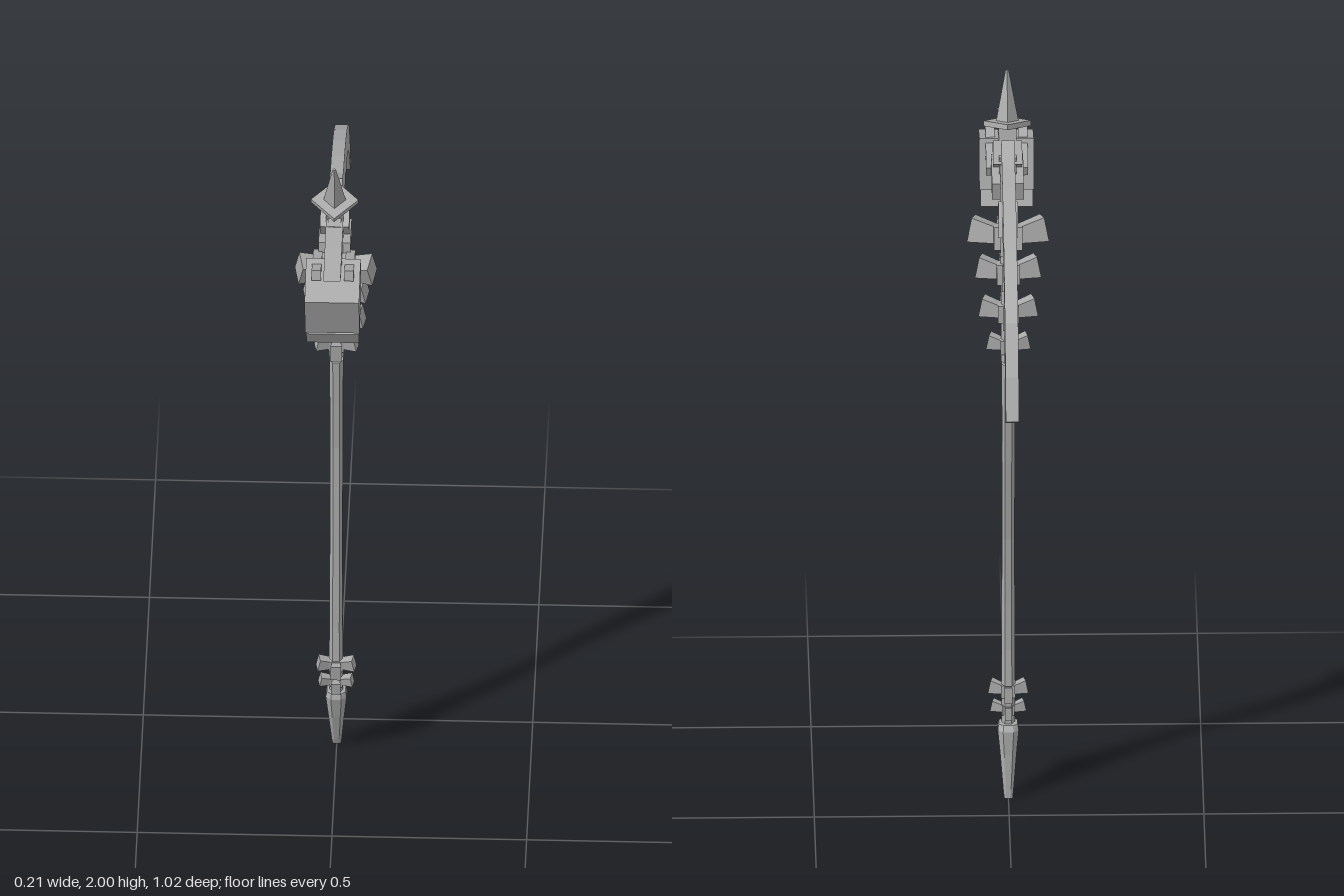
import * as THREE from 'three';

const bone = new THREE.MeshStandardMaterial({ color: 0xaaaaaa, flatShading: true });
bone.name = 'boneGrey';

function add(parent, name, geometry) {
  const mesh = new THREE.Mesh(geometry, bone);
  mesh.name = name;
  parent.add(mesh);
  return mesh;
}

// Side profile given as [z, y] points, extruded to a width along x
function plate(parent, name, points, width, x = 0) {
  const shape = new THREE.Shape(points.map(([z, y]) => new THREE.Vector2(z, y)));
  const g = new THREE.ExtrudeGeometry(shape, { depth: width, bevelEnabled: false });
  g.translate(0, 0, -width / 2);
  g.rotateY(-Math.PI / 2);
  g.translate(x, 0, 0);
  return add(parent, name, g);
}

// Box leaning in the side plane
function block(parent, name, [w, h, d], [x, y, z], tilt = 0) {
  const mesh = add(parent, name, new THREE.BoxGeometry(w, h, d));
  mesh.position.set(x, y, z);
  mesh.rotation.x = tilt;
  return mesh;
}

// Knob running outward along +z, with its own inner and outer section
function knob(parent, name, inner, outer, from, to) {
  const g = new THREE.BoxGeometry(1, 1, 1);
  const p = g.attributes.position;
  for (let i = 0; i < p.count; i++) {
    const end = p.getZ(i) > 0;
    const [w, h] = end ? outer : inner;
    p.setXYZ(i, p.getX(i) * w, p.getY(i) * h, end ? to : from);
  }
  return add(parent, name, g);
}

// Lofted shaft with a bevelled eight-sided section; rows are [y, zBack, zFront, halfWidth]
function shaft(parent, name, rows) {
  const section = [[1, 0.55], [0.5, 1], [-0.5, 1], [-1, 0.55], [-1, -0.55], [-0.5, -1], [0.5, -1], [1, -0.55]];
  const n = section.length, pos = [], index = [];
  for (const [y, z0, z1, hw] of rows) {
    for (const [sx, sz] of section) pos.push(sx * hw, y, (z0 + z1) / 2 + sz * (z1 - z0) / 2);
  }
  for (let r = 0; r < rows.length - 1; r++) {
    for (let i = 0; i < n; i++) {
      const a = r * n + i, b = r * n + (i + 1) % n;
      index.push(a, a + n, b, b, a + n, b + n);
    }
  }
  const top = (rows.length - 1) * n;
  for (let i = 1; i < n - 1; i++) {
    index.push(0, i, i + 1, top, top + i + 1, top + i);
  }
  const g = new THREE.BufferGeometry();
  g.setAttribute('position', new THREE.Float32BufferAttribute(pos, 3));
  g.setIndex(index);
  const flat = g.toNonIndexed();
  flat.computeVertexNormals();
  return add(parent, name, flat);
}

// Vertebra: core, front and back knobs, and two raised side wings
function vertebra(parent, { y, z, tilt, wide, front, back, h }) {
  const v = new THREE.Group();
  v.name = 'vertebra';
  v.position.set(0, y, z);
  v.rotation.x = tilt;
  parent.add(v);
  const core = wide * 0.36;
  block(v, 'vertebraCore', [core * 2, h * 0.75, core * 1.7], [0, 0, 0]);
  knob(v, 'vertebraFront', [core * 1.1, h * 0.55], [core * 1.5, h], core * 0.5, front);
  knob(v, 'vertebraBack', [core * 0.9, h * 0.55], [core * 1.1, h], core * 0.5, back).rotation.y = Math.PI;
  for (const side of [1, -1]) {
    const holder = new THREE.Group();
    holder.name = 'vertebraWing';
    holder.rotation.y = side * (Math.PI / 2 - 0.2);
    v.add(holder);
    knob(holder, 'wing', [core * 1.2, h * 0.5], [core * 1.5, h * 0.8], core * 0.6, wide * 0.96).rotation.x = -0.2;
  }
}

export function createModel() {
  const model = new THREE.Group();
  model.name = 'bonePick';

  // Curved pick blade with a notched lower edge
  plate(model, 'blade', [
    [0.30, 1.81], [0.20, 1.825], [0.17, 1.867], [0.095, 1.83], [0.005, 1.815], [-0.10, 1.785],
    [-0.207, 1.74], [-0.30, 1.685], [-0.377, 1.623], [-0.456, 1.507], [-0.509, 1.406], [-0.493, 1.395],
    [-0.42, 1.485], [-0.35, 1.565], [-0.26, 1.63], [-0.215, 1.648], [-0.19, 1.643], [-0.138, 1.655],
    [-0.106, 1.69], [-0.042, 1.68], [0, 1.66], [0.042, 1.69], [0.10, 1.674], [0.15, 1.685],
    [0.215, 1.63], [0.24, 1.665], [0.30, 1.69], [0.32, 1.74],
  ], 0.034);

  // Front horn and hanging fang
  plate(model, 'frontHorn', [
    [0.504, 1.788], [0.38, 1.803], [0.28, 1.81], [0.20, 1.80], [0.22, 1.72], [0.30, 1.735], [0.41, 1.758],
  ], 0.044);
  plate(model, 'fang', [
    [0.25, 1.70], [0.25, 1.66], [0.29, 1.645], [0.295, 1.59], [0.302, 1.533], [0.345, 1.59], [0.33, 1.65], [0.34, 1.70],
  ], 0.034);

  // Hammer head, chin block and the rails that hold them
  block(model, 'hammerHead', [0.14, 0.134, 0.139], [0, 1.68, 0.4215], 0.31);
  block(model, 'chinBlock', [0.135, 0.05, 0.1], [0, 1.583, 0.4], 0.48);
  block(model, 'chinLink', [0.07, 0.06, 0.045], [0, 1.615, 0.39], 0.31);
  block(model, 'hammerNeck', [0.07, 0.05, 0.14], [0, 1.705, 0.305], 0.2);
  for (const side of [1, -1]) {
    block(model, 'cheekRail', [0.024, 0.028, 0.16], [side * 0.042, 1.737, 0.367], -0.3);
    block(model, 'cheekPlate', [0.022, 0.05, 0.13], [side * 0.03, 1.725, 0.24], -0.15);
  }

  // Crest: cube, diamond collar and spike along one leaning axis
  const crest = new THREE.Group();
  crest.name = 'crest';
  crest.position.set(0, 1.79, 0.242);
  crest.rotation.x = 0.3;
  model.add(crest);
  block(crest, 'crestCube', [0.075, 0.062, 0.062], [0, 0, 0], 0.3);
  block(crest, 'crestStem', [0.045, 0.07, 0.04], [0, 0.045, 0]);
  const collar = add(crest, 'crestCollar', new THREE.CylinderGeometry(0.061, 0.061, 0.014, 4));
  collar.position.y = 0.08;
  const spike = add(crest, 'crestSpike', new THREE.CylinderGeometry(0.004, 0.031, 0.145, 4));
  spike.position.y = 0.147;

  // Neck spine and its vertebrae
  const neckCurve = new THREE.CatmullRomCurve3([
    [1.24, 0.115], [1.39, 0.127], [1.5, 0.145], [1.6, 0.17], [1.71, 0.205],
  ].map(([y, z]) => new THREE.Vector3(0, y, z)));
  add(model, 'neckSpine', new THREE.TubeGeometry(neckCurve, 10, 0.019, 6));
  [
    { y: 1.3, z: 0.118, tilt: 0.05, wide: 0.055, front: 0.046, back: 0.044, h: 0.05 },
    { y: 1.392, z: 0.127, tilt: 0.13, wide: 0.074, front: 0.06, back: 0.055, h: 0.062 },
    { y: 1.495, z: 0.147, tilt: 0.22, wide: 0.082, front: 0.07, back: 0.06, h: 0.07 },
    { y: 1.585, z: 0.175, tilt: 0.3, wide: 0.102, front: 0.085, back: 0.07, h: 0.08 },
  ].forEach((v) => vertebra(model, v));
  plate(model, 'neckSpur', [[0.17, 1.69], [0.125, 1.66], [0.10, 1.62], [0.13, 1.61], [0.20, 1.65]], 0.05);

  // Long curved handle
  shaft(model, 'handle', [
    [0.318, 0.106, 0.18, 0.018], [0.42, 0.117, 0.171, 0.017], [0.55, 0.122, 0.164, 0.017],
    [0.737, 0.12, 0.154, 0.016], [0.976, 0.098, 0.139, 0.017], [1.12, 0.09, 0.143, 0.017],
    [1.257, 0.085, 0.149, 0.018],
  ]);

  // Tail vertebrae and the pointed butt
  const tailCurve = new THREE.LineCurve3(new THREE.Vector3(0, 0.33, 0.146), new THREE.Vector3(0, 0.16, 0.137));
  add(model, 'tailSpine', new THREE.TubeGeometry(tailCurve, 1, 0.017, 6));
  vertebra(model, { y: 0.288, z: 0.145, tilt: 0.1, wide: 0.05, front: 0.04, back: 0.042, h: 0.045 });
  vertebra(model, { y: 0.234, z: 0.144, tilt: 0.1, wide: 0.045, front: 0.037, back: 0.04, h: 0.036 });
  shaft(model, 'buttSpike', [
    [0, 0.094, 0.106, 0.011], [0.02, 0.095, 0.115, 0.013], [0.12, 0.103, 0.148, 0.021],
    [0.185, 0.105, 0.165, 0.027], [0.2, 0.115, 0.16, 0.024],
  ]);

  return model;
}
